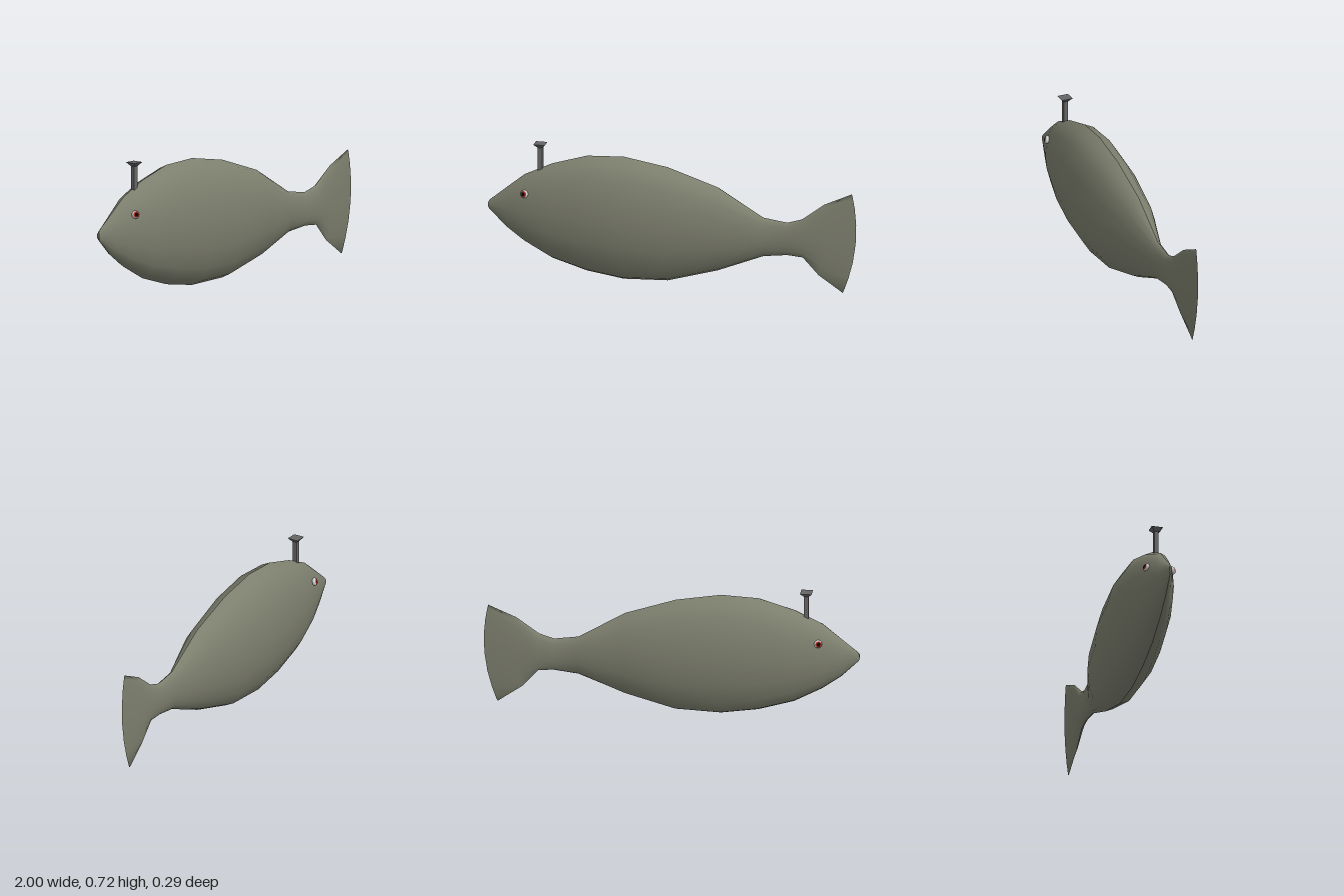
import * as THREE from 'three';

const mat = (color, side = THREE.FrontSide) => new THREE.MeshStandardMaterial({ color, side });

// Sections, nose to tail: [top x, top y, bottom x, bottom y, half width, forward bulge, z offset]
const SECTIONS = [
  [-0.99, 0.388, -0.99, 0.335, 0.007, -0.01, 0],
  [-0.9, 0.463, -0.9, 0.245, 0.04, 0, 0],
  [-0.8, 0.545, -0.8, 0.172, 0.075, 0, 0],
  [-0.65, 0.617, -0.65, 0.09, 0.109, 0, 0],
  [-0.46, 0.675, -0.46, 0.033, 0.135, 0, 0],
  [-0.26, 0.685, -0.26, 0.003, 0.147, 0, 0],
  [-0.02, 0.645, -0.02, 0.013, 0.136, 0, 0],
  [0.25, 0.555, 0.25, 0.09, 0.1, 0, 0],
  [0.5, 0.405, 0.5, 0.19, 0.03, 0, 0],
  [0.63, 0.387, 0.63, 0.206, 0.025, 0, 0],
  [0.71, 0.412, 0.715, 0.2, 0.027, 0, 0.002],
  [0.83, 0.502, 0.8, 0.105, 0.02, 0.02, -0.004],
  [0.98, 0.57, 0.93, 0.015, 0.001, 0.045, -0.01],
];

// One flank of the fish; the open halves meet in a crease along back and belly
function flank(side) {
  const steps = 8, pos = [], index = [];
  for (const [tx, ty, bx, by, w, bulge, dz] of SECTIONS) {
    for (let i = 0; i <= steps; i++) {
      const a = (i / steps) * Math.PI;
      const t = (1 - Math.cos(a)) / 2;
      const s = Math.sin(a);
      pos.push(tx + (bx - tx) * t + bulge * s * s, ty + (by - ty) * t, dz + side * w * s);
    }
  }
  const row = steps + 1;
  const tri = (a, b, c) => (side > 0 ? index.push(a, b, c) : index.push(a, c, b));
  for (let r = 0; r < SECTIONS.length - 1; r++) {
    for (let i = 0; i < steps; i++) {
      const a = r * row + i;
      tri(a, a + 1, a + row);
      tri(a + 1, a + row + 1, a + row);
    }
  }
  // Close the nose and the tail edge
  const last = (SECTIONS.length - 1) * row;
  for (let i = 1; i < steps; i++) {
    tri(0, i + 1, i);
    tri(last, last + i, last + i + 1);
  }
  const g = new THREE.BufferGeometry();
  g.setAttribute('position', new THREE.Float32BufferAttribute(pos, 3));
  g.setIndex(index);
  g.computeVertexNormals();
  return g;
}

// Flattened ball in three coloured zones, facing out of the head
function makeEye(side) {
  const eye = new THREE.Group();
  eye.name = side > 0 ? 'frontEye' : 'backEye';
  const zones = [['pupil', 0x080808, 0, 0.5], ['iris', 0xb02a1c, 0.5, 0.85], ['eyeball', 0xcccccc, 0.85, Math.PI]];
  for (const [name, color, from, to] of zones) {
    const zone = new THREE.Mesh(new THREE.SphereGeometry(0.022, 16, 6, 0, Math.PI * 2, from, to - from), mat(color));
    zone.name = name;
    eye.add(zone);
  }
  eye.scale.y = 0.65;
  const out = new THREE.Vector3(-0.35, 0.22, side).normalize();
  eye.quaternion.setFromUnitVectors(new THREE.Vector3(0, 1, 0), out);
  eye.position.set(-0.785, 0.458, side * 0.073);
  return eye;
}

export function createModel() {
  const model = new THREE.Group();
  model.name = 'fish';

  // Body and tail fin in one skin
  const skin = mat(0x7d7f6e, THREE.DoubleSide);
  for (const side of [1, -1]) {
    const half = new THREE.Mesh(flank(side), skin);
    half.name = side > 0 ? 'frontFlank' : 'backFlank';
    model.add(half, makeEye(side));
  }

  // Square post with a flared head on the forehead
  const metal = mat(0x666666);
  const post = new THREE.Mesh(new THREE.BoxGeometry(0.026, 0.15, 0.024), metal);
  post.name = 'post';
  post.position.set(-0.715, 0.627, 0);
  const flareGeometry = new THREE.CylinderGeometry(0.031 * Math.SQRT2, 0.012 * Math.SQRT2, 0.022, 4).toNonIndexed();
  flareGeometry.rotateY(Math.PI / 4);
  flareGeometry.computeVertexNormals();
  const flare = new THREE.Mesh(flareGeometry, metal);
  flare.name = 'postHead';
  flare.position.set(-0.715, 0.712, 0);
  model.add(post, flare);

  return model;
}
